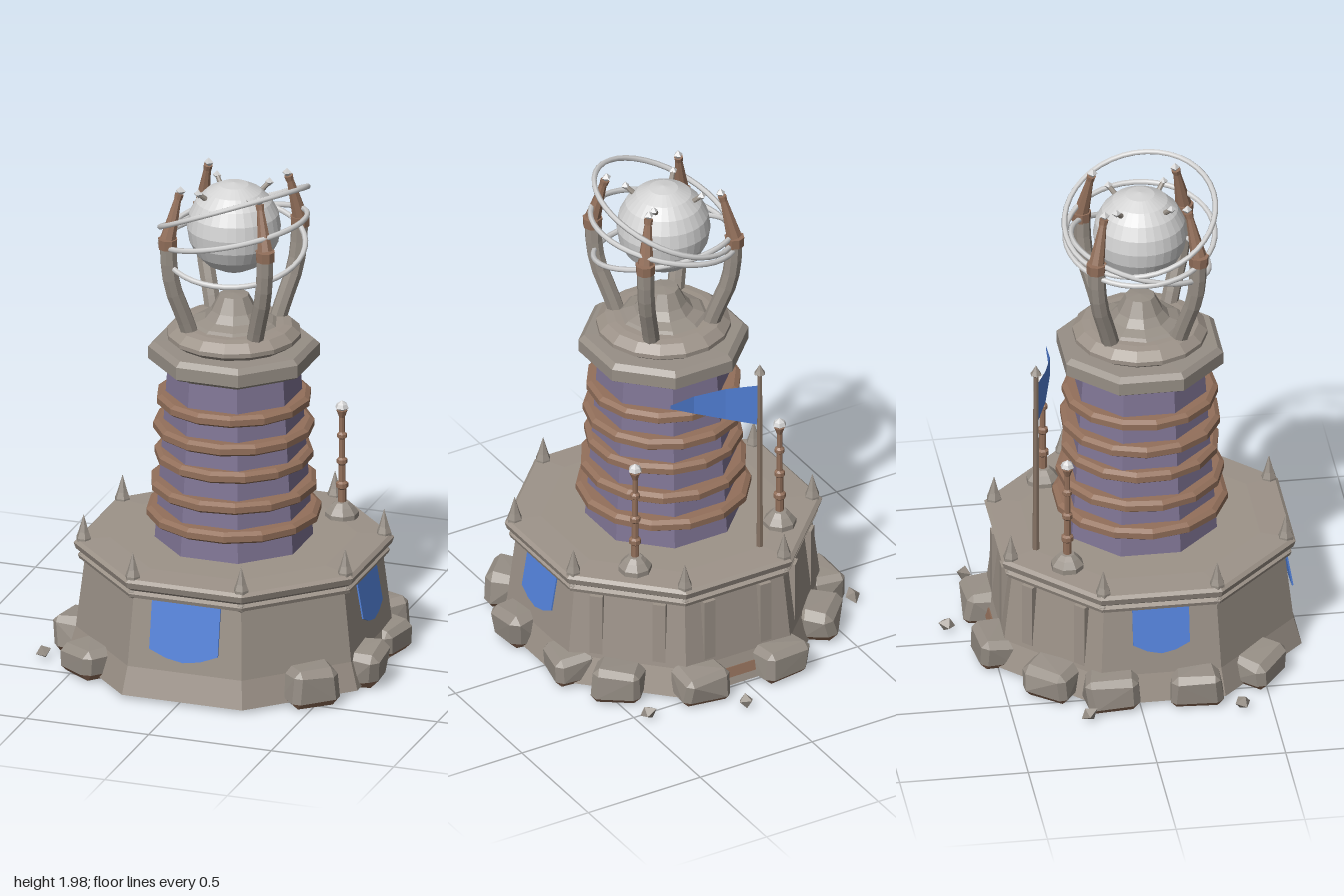
import * as THREE from 'three';
import { ConvexGeometry } from 'three/addons/geometries/ConvexGeometry.js';

const mat = (name, color, extra = {}) => new THREE.MeshStandardMaterial({ name, color, ...extra });
const stone = mat('stone', 0x9d9389);
const greyStone = mat('grey stone', 0x978f86);
const purple = mat('purple wall', 0x817696);
const bronze = mat('bronze', 0x93705b);
const wood = mat('weathered wood', 0x857263);
const silver = mat('silver', 0xd4d4d4);
const blue = mat('blue cloth', 0x5382da, { side: THREE.DoubleSide });

const flat = (geo) => {
  const g = geo.index ? geo.toNonIndexed() : geo;
  g.computeVertexNormals();
  return g;
};
const v2 = (pts, k = 1) => pts.map(([r, y]) => new THREE.Vector2(r * k, y));

function add(parent, name, geo, material, x = 0, y = 0, z = 0) {
  const m = new THREE.Mesh(geo, material);
  m.name = name;
  m.position.set(x, y, z);
  parent.add(m);
  return m;
}

// Faceted lathe with a flat side to the front; radii are measured to the flats
function turned(parent, name, pts, sides, material, x = 0, y = 0, z = 0) {
  const geo = new THREE.LatheGeometry(v2(pts, 1 / Math.cos(Math.PI / sides)), sides, Math.PI / sides);
  return add(parent, name, flat(geo), material, x, y, z);
}

let seed = 7;
const rand = () => ((seed = (seed * 16807) % 2147483647) / 2147483647) - 0.5;

// Irregular chamfered block with brown lower chamfers
function rockGeometry(w, h, d) {
  const pts = [];
  for (const sx of [-1, 1]) for (const sy of [-1, 1]) for (const sz of [-1, 1]) {
    const c = new THREE.Vector3(sx * w / 2, sy * h / 2, sz * d / 2);
    c.x += rand() * 0.02; c.z += rand() * 0.02; c.y += sy > 0 ? rand() * 0.02 : 0;
    const b = 0.026 + rand() * 0.012;
    pts.push(new THREE.Vector3(c.x, c.y - sy * b, c.z - sz * b));
    pts.push(new THREE.Vector3(c.x - sx * b, c.y, c.z - sz * b));
    pts.push(new THREE.Vector3(c.x - sx * b, c.y - sy * b, c.z));
  }
  const geo = new ConvexGeometry(pts), n = geo.attributes.normal;
  for (let i = 0; i < n.count; i += 3) {
    const ny = n.getY(i);
    geo.addGroup(i, 3, ny < -0.3 && ny > -0.97 ? 1 : 0);
  }
  return geo;
}

// Group turned towards a side of the octagon
function facing(parent, name, angle) {
  const g = new THREE.Group();
  g.name = name;
  g.rotation.y = angle;
  parent.add(g);
  return g;
}

function buildBase(body) {
  turned(body, 'hollowBase', [[0, 0.4], [0.5, 0.4], [0.57, 0.03], [0.592, 0.03], [0.562, 0.14], [0.53, 0.42]], 8, stone);
  turned(body, 'platform', [[0.5, 0.415], [0.55, 0.42], [0.555, 0.435], [0.54, 0.445], [0.562, 0.46], [0.57, 0.485],
    [0.557, 0.497], [0.44, 0.503], [0, 0.503]], 8, stone);

  // Corner spikes with a small knob below the ledge
  for (let i = 0; i < 8; i++) {
    const a = (i + 0.5) * Math.PI / 4, x = Math.sin(a) * 0.578, z = Math.cos(a) * 0.578;
    turned(body, 'cornerSpike', [[0, 0.48], [0.026, 0.49], [0.026, 0.505], [0.018, 0.53], [0, 0.6]], 6, greyStone, x, 0, z);
    turned(body, 'cornerKnob', [[0, 0.41], [0.016, 0.42], [0.016, 0.44], [0, 0.45]], 6, greyStone, x, 0, z);
  }

  // Paired upright ribs on the three rear sides
  for (const a of [0.75, 1, 1.25]) {
    const side = facing(body, 'ribbedSide', a * Math.PI);
    for (const x of [-0.125, 0.125])
      add(side, 'rib', flat(new THREE.BoxGeometry(0.05, 0.36, 0.05)), stone, x, 0.235, 0.535);
  }

  // Brown strip along the rear foot
  const rear = facing(body, 'rearSide', Math.PI);
  add(rear, 'footStrip', flat(new THREE.BoxGeometry(0.2, 0.04, 0.008)), bronze, 0, 0.08, 0.58).rotation.x = -0.27;

  // Hanging banners on the front and both flanks
  for (const [a, w, h] of [[0, 0.28, 0.235], [0.5, 0.22, 0.19], [-0.5, 0.22, 0.19]]) {
    const side = facing(body, 'bannerSide', a * Math.PI);
    const shape = new THREE.Shape(v2([[-w / 2, 0], [-w / 2, 0.04 - h], [-w / 4, 0.012 - h], [0, -h],
      [w / 4, 0.012 - h], [w / 2, 0.04 - h], [w / 2, 0]]));
    const geo = new THREE.ExtrudeGeometry(shape, { depth: 0.006, bevelEnabled: false });
    add(side, 'banner', geo, blue, 0, 0.42, 0.537).rotation.x = -0.17;
  }
}

function buildTower(body) {
  turned(body, 'towerWall', [[0.282, 0.5], [0.236, 1.21]], 8, purple);

  // Bronze hoops
  [[0.615, 0.33], [0.73, 0.316], [0.85, 0.299], [0.965, 0.303], [1.08, 0.293]].forEach(([y, r], i) => {
    const hoop = turned(body, 'hoop', [[0.22, -0.024], [r - 0.018, -0.024], [r, -0.012], [r, 0.012],
      [r - 0.018, 0.024], [0.22, 0.024]], 14, bronze, 0, y);
    hoop.rotation.y = i * 0.13;
  });

  turned(body, 'cornice', [[0.225, 1.19], [0.25, 1.22], [0.29, 1.23], [0.305, 1.24], [0.305, 1.29], [0.285, 1.31], [0, 1.315]], 8, greyStone);
  turned(body, 'roundCap', [[0.21, 1.3], [0.235, 1.32], [0.255, 1.333], [0.255, 1.35], [0.222, 1.38], [0.19, 1.385], [0, 1.39]], 16, stone);
  turned(body, 'dome', [[0.17, 1.38], [0.15, 1.395], [0.11, 1.41], [0.085, 1.44], [0.055, 1.5], [0, 1.505]], 10, greyStone);
}

// Rod between two points
function rod(parent, name, from, to, r0, r1, material) {
  const a = new THREE.Vector3(...from), b = new THREE.Vector3(...to), d = b.clone().sub(a);
  const m = add(parent, name, flat(new THREE.CylinderGeometry(r1, r0, d.length(), 8)), material);
  m.position.copy(a.add(b).multiplyScalar(0.5));
  m.quaternion.setFromUnitVectors(new THREE.Vector3(0, 1, 0), d.normalize());
}

function buildOrb(body) {
  add(body, 'orb', flat(new THREE.SphereGeometry(0.181, 32, 10)), silver, 0, 1.78, 0);

  // Four curved arms on the diagonals, each with a bronze tip; d is the reach along x and z
  for (const sx of [-1, 1]) for (const sz of [-1, 1]) {
    const p = (d, y) => [sx * d, y, sz * d];
    const arm = new THREE.Group();
    arm.name = 'arm';
    body.add(arm);
    const path = new THREE.CatmullRomCurve3([p(0.13, 1.36), p(0.152, 1.45), p(0.182, 1.56), p(0.194, 1.65), p(0.197, 1.74)]
      .map((q) => new THREE.Vector3(...q)));
    add(arm, 'armShaft', flat(new THREE.TubeGeometry(path, 6, 0.034, 8)), greyStone);
    rod(arm, 'armCollar', p(0.199, 1.735), p(0.199, 1.775), 0.037, 0.039, bronze);
    rod(arm, 'armTip', p(0.198, 1.775), p(0.167, 1.94), 0.031, 0.013, bronze);
    rod(arm, 'armTipBand', p(0.168, 1.93), p(0.164, 1.95), 0.016, 0.018, bronze);
    add(arm, 'armPoint', flat(new THREE.OctahedronGeometry(0.02)), silver, ...p(0.16, 1.962));
    rod(arm, 'orbProng', p(0.06, 1.88), p(0.105, 1.935), 0.012, 0.009, greyStone);
    add(arm, 'orbProngKnob', flat(new THREE.OctahedronGeometry(0.018)), silver, ...p(0.107, 1.937));
  }

  // Tilted orbit rings: height, radius, rise along x, rise along z
  for (const [y, r, a, b] of [[1.86, 0.295, 0.4, 0.25], [1.772, 0.288, 0.23, 0.05], [1.705, 0.275, -0.06, -0.28]]) {
    const ring = add(body, 'orbitRing', new THREE.TorusGeometry(r, 0.011, 6, 40), silver, 0, y, 0);
    ring.quaternion.setFromUnitVectors(new THREE.Vector3(0, 0, 1), new THREE.Vector3(-a, 1, -b).normalize());
  }
}

function buildPosts(body) {
  // Two bronze posts on stone feet
  for (const s of [-1, 1]) {
    const x = s * 0.323, z = -0.33;
    turned(body, 'postFoot', [[0.06, 0.5], [0.06, 0.52], [0.042, 0.545], [0.026, 0.562], [0, 0.565]], 8, greyStone, x, 0, z);
    turned(body, 'post', [[0.015, 0.55], [0.015, 0.615], [0.022, 0.622], [0.022, 0.64], [0.013, 0.647], [0.013, 0.715],
      [0.019, 0.722], [0.019, 0.738], [0.011, 0.745], [0.011, 0.822], [0.018, 0.828], [0.018, 0.842], [0.01, 0.85],
      [0.01, 0.91], [0.02, 0.94], [0, 0.945]], 8, bronze, x, 0, z);
    turned(body, 'postCrystal', [[0, 0.93], [0.024, 0.95], [0.018, 0.965], [0, 0.98]], 6, silver, x, 0, z);
  }

  // Flagpole and pennant behind the tower
  const px = -0.175, pz = -0.43;
  turned(body, 'flagpole', [[0.012, 0.5], [0.009, 1.285], [0, 1.285]], 6, wood, px, 0, pz);
  turned(body, 'flagpoleTip', [[0, 1.27], [0.02, 1.285], [0.012, 1.3], [0, 1.325]], 6, greyStone, px, 0, pz);
  const cols = [[0, 1.23, 1.05, 0], [0.12, 1.222, 1.085, 0.055], [0.24, 1.208, 1.13, 0.09], [0.345, 1.2, 1.185, 0.09]];
  const pos = [], idx = [];
  cols.forEach(([x, top, low, z], i) => {
    pos.push(x, top, z, x, low, z);
    if (i) idx.push(2 * i - 2, 2 * i - 1, 2 * i, 2 * i, 2 * i - 1, 2 * i + 1);
  });
  const geo = new THREE.BufferGeometry();
  geo.setAttribute('position', new THREE.Float32BufferAttribute(pos, 3));
  geo.setIndex(idx);
  add(body, 'pennant', flat(geo), blue, px, 0, pz);
}

function buildRocks(root) {
  // Boulders round the foot: x, z, width, height
  const rocks = [[-0.15, -0.5, 0.2, 0.13], [0.2, -0.5, 0.2, 0.13], [0.47, -0.335, 0.19, 0.14], [0.565, -0.11, 0.2, 0.13],
    [0.6, 0.21, 0.18, 0.15], [0.475, 0.485, 0.19, 0.15], [-0.435, 0.485, 0.2, 0.12], [-0.56, 0.22, 0.19, 0.14],
    [-0.555, -0.11, 0.2, 0.14], [-0.43, -0.33, 0.2, 0.13]];
  for (const [x, z, w, h] of rocks) {
    const rock = add(root, 'boulder', rockGeometry(w, h, 0.15), [greyStone, bronze], x, 0.018 + h / 2, z);
    rock.rotation.set(0, Math.round(Math.atan2(x - 0.02, z - 0.085) / (Math.PI / 4)) * Math.PI / 4 + rand() * 0.25, rand() * 0.06);
  }
  // Loose pebbles
  for (const [x, z] of [[0.09, -0.655], [0.455, -0.535], [-0.65, -0.21], [-0.65, 0.385]]) {
    const pebble = add(root, 'pebble', flat(new THREE.OctahedronGeometry(0.037)), greyStone, x, 0.045, z);
    pebble.rotation.set(rand() * 2, rand() * 6, rand() * 2);
    pebble.scale.set(1, 0.8, 0.85);
  }
}

export function createModel() {
  const root = new THREE.Group();
  root.name = 'orbTower';
  const body = new THREE.Group();
  body.name = 'tower';
  body.position.set(0.02, 0, 0.085);
  root.add(body);
  buildBase(body);
  buildTower(body);
  buildOrb(body);
  buildPosts(body);
  buildRocks(root);
  return root;
}
